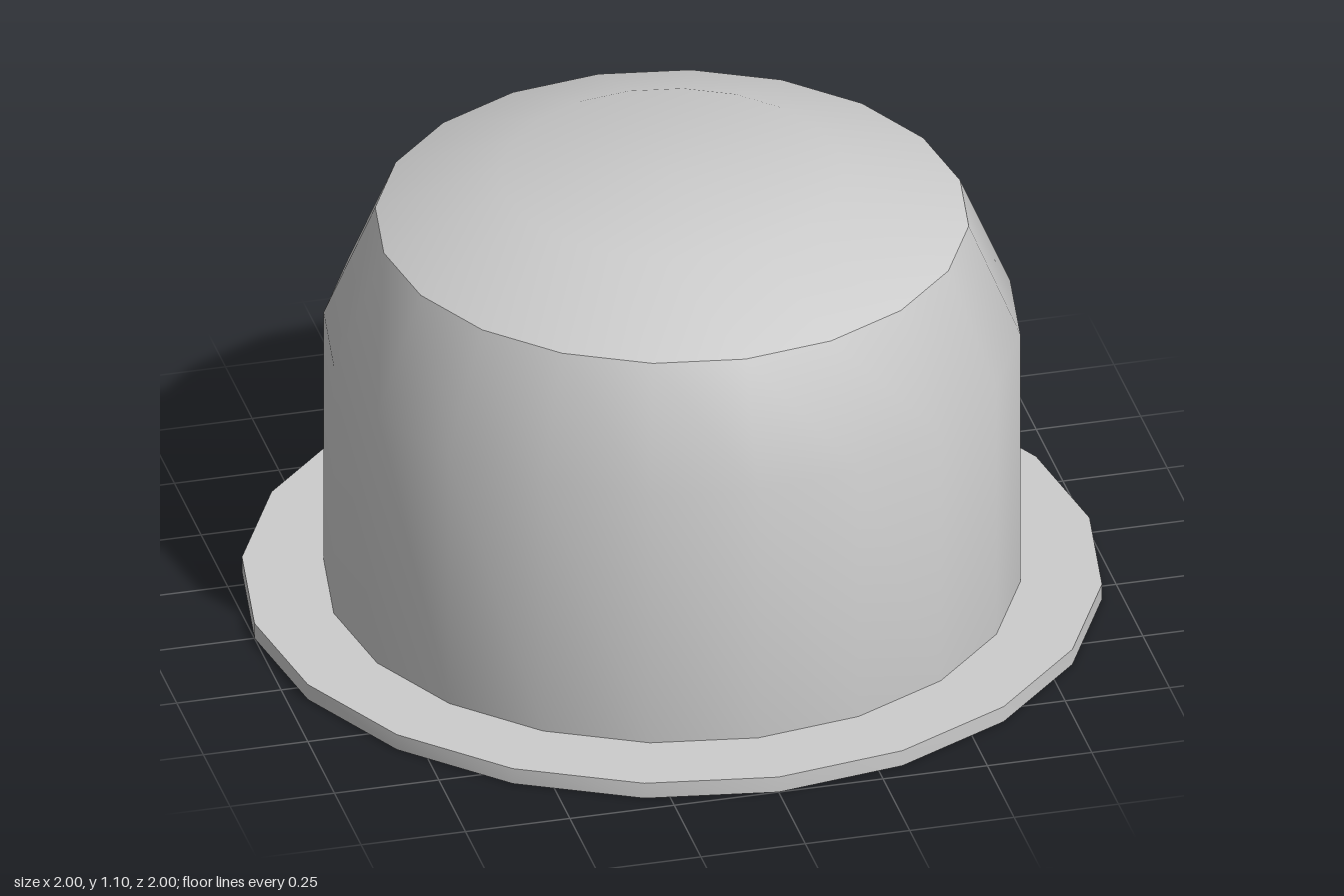
import * as THREE from 'three';
import { toCreasedNormals } from 'three/addons/utils/BufferGeometryUtils.js';

const SIDES = 20;

// Turned part from a profile of [radius, height]; outside lies to the right of the path
function turned(name, profile, flatShading) {
  const points = profile.map(([r, y]) => new THREE.Vector2(r, y));
  let geometry = new THREE.LatheGeometry(points, SIDES);
  if (!flatShading) geometry = toCreasedNormals(geometry, Math.PI / 6);
  const material = new THREE.MeshStandardMaterial({ color: 0xcccccc, flatShading });
  const mesh = new THREE.Mesh(geometry, material);
  mesh.name = name;
  return mesh;
}

export function createModel() {
  const model = new THREE.Group();
  model.name = 'flangedCap';

  // Thin flange with an open middle
  model.add(turned('flange', [[0.755, 0], [1, 0], [1, 0.04], [0.81, 0.04]], false));

  // Outer shell: straight wall, bevelled shoulder and shallow crown
  model.add(turned('shell', [[0.81, 0.04], [0.81, 0.7], [0.69, 0.985], [0.4, 1.1], [0, 1.1]], false));

  // Core socket: the hollow centre and the tube around it
  model.add(turned('coreTube', [[0, 0.85], [0.2, 0.85], [0.215, 0.1], [0.28, 0.1], [0.32, 0.85]], true));

  // Middle skirt: widens upward, between the inner and outer grooves
  model.add(turned('middleSkirt', [[0.32, 0.85], [0.5, 0.85], [0.47, 0.09], [0.52, 0.09], [0.66, 0.68]], true));

  // Outer wall of the hollow
  model.add(turned('hollowWall', [[0.66, 0.68], [0.74, 0.68], [0.755, 0]], true));

  return model;
}
